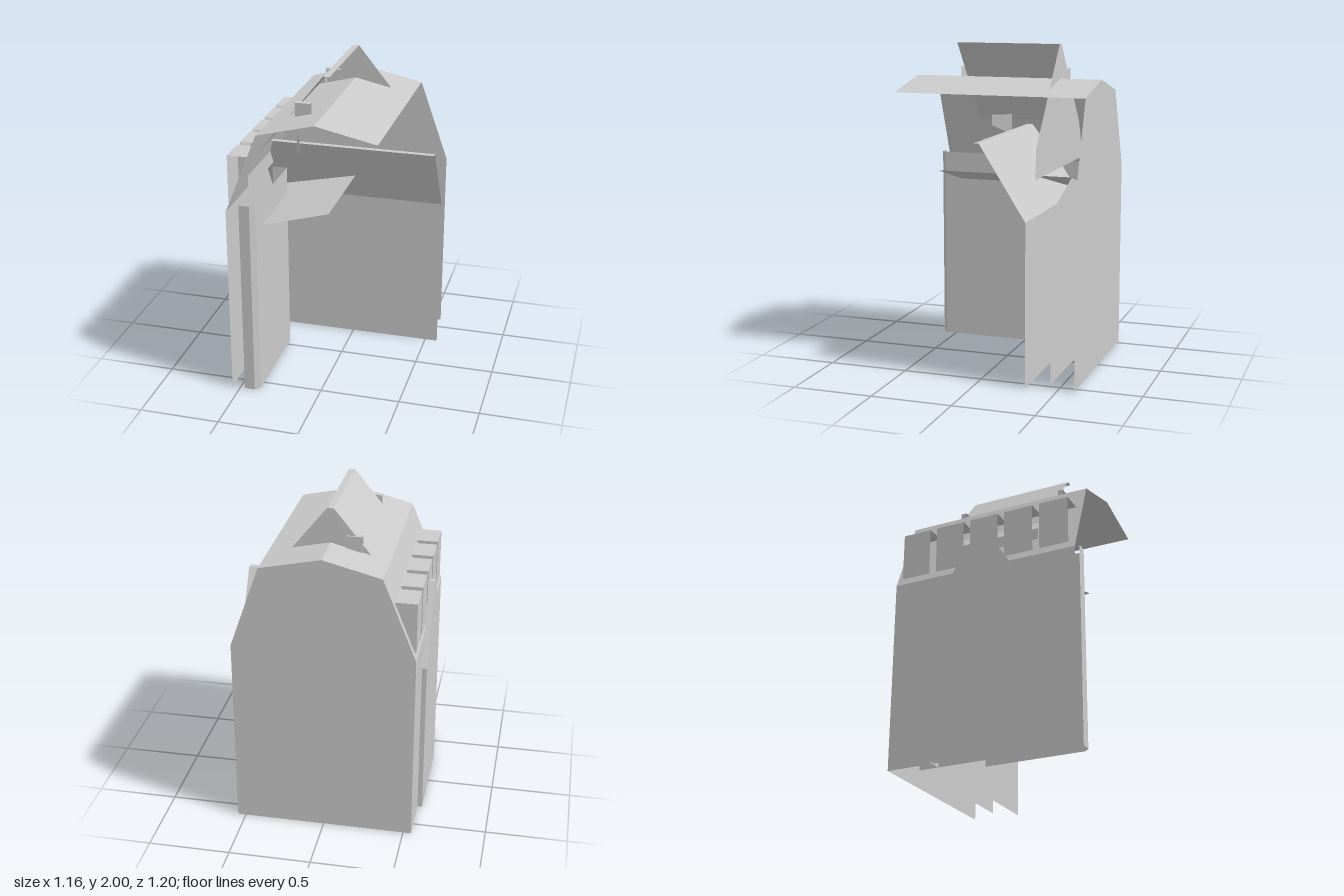
import * as THREE from 'three';

const material = new THREE.MeshStandardMaterial({ color: 0xcccccc, flatShading: true, side: THREE.DoubleSide });

// Mesh from flat convex polygons, each a list of [x, y, z] corners
function panels(name, polygons) {
  const pos = [];
  for (const p of polygons)
    for (let i = 1; i < p.length - 1; i++) pos.push(...p[0], ...p[i], ...p[i + 1]);
  const geo = new THREE.BufferGeometry();
  geo.setAttribute('position', new THREE.Float32BufferAttribute(pos, 3));
  geo.computeVertexNormals();
  const mesh = new THREE.Mesh(geo, material);
  mesh.name = name;
  return mesh;
}

// Sheet that follows an (x, y) profile and runs along z
const alongZ = (profile, z0, z1) => profile.slice(1).map(([bx, by], i) => {
  const [ax, ay] = profile[i];
  return [[ax, ay, z0], [ax, ay, z1], [bx, by, z1], [bx, by, z0]];
});

// Sheet that follows a (z, y) profile and runs along x
const alongX = (profile, x0, x1) => profile.slice(1).map(([bz, by], i) => {
  const [az, ay] = profile[i];
  return [[x1, ay, az], [x0, ay, az], [x0, by, bz], [x1, by, bz]];
});

const faceZ = (profile, z) => profile.map(([x, y]) => [x, y, z]);
const faceX = (profile, x) => profile.map(([z, y]) => [x, y, z]);

export function createModel() {
  const house = new THREE.Group();
  house.name = 'openHouse';

  // Main shell: side wall, gambrel roof open on one side, back gable
  const roof = [[-0.55, 1.2], [-0.35, 1.7], [0, 1.79], [0.37, 1.71]];
  house.add(
    panels('sideWall', alongZ([[-0.55, 0], [-0.55, 1.2]], -0.6, 0.6)),
    panels('mainRoof', alongZ(roof, -0.6, 0.6)),
    panels('backGable', [faceZ([[-0.55, 0], ...roof, [0.55, 1.2], [0.55, 0]], -0.6)]),
  );

  // Raised steep roof through the ridge
  const steep = [[-0.495, 1.24], [-0.495, 1.41], [-0.02, 2], [0.02, 2]];
  house.add(
    panels('raisedRoof', alongZ(steep, -0.34, 0.34)),
    panels('raisedGable', [faceZ([...steep, [0.495, 1.41], [0.495, 1.24]], -0.34)]),
  );

  // Cross wing
  const wing = [[-0.305, 0], [-0.305, 1], [-0.02, 1.45], [0.015, 1.45]];
  house.add(
    panels('wingWallAndRoof', alongX(wing, -0.58, 0.58)),
    panels('wingGable', [faceX([[0.305, 0], [0.305, 1], ...wing.slice().reverse()], -0.58)]),
  );

  // Inner house with a low roof
  house.add(
    panels('innerSideWall', alongZ([[-0.48, 0], [-0.48, 1.045]], -0.43, 0.43)),
    panels('innerRoof', alongZ([[-0.48, 1.045], [0.04, 1.19]], -0.445, 0.45)),
    panels('innerGable', [faceZ([[-0.48, 0], [-0.48, 1.045], [0.04, 1.19], [0.47, 1.05], [0.47, 0]], -0.43)]),
  );

  // Inner partition with a chamfered corner
  const plan = [[-0.47, 0.595], [-0.405, 0.595], [-0.375, 0.565], [-0.375, -0.055], [-0.47, -0.055]];
  house.add(panels('partition', plan.slice(1).map(([bx, bz], i) => {
    const [ax, az] = plan[i];
    return [[ax, 0, az], [bx, 0, bz], [bx, 1.25, bz], [ax, 1.25, az]];
  })));

  // Row of dormers on the steep side of the roof
  for (let i = 0; i < 5; i++) {
    const z0 = -0.56 + i * 0.2325, z1 = z0 + 0.187;
    const profile = [[-0.545, 1.24], [-0.545, 1.545], [-0.412, 1.545]];
    house.add(panels('dormer' + (i + 1), [
      ...alongZ(profile, z0, z1),
      faceZ([...profile, [-0.534, 1.24]], z0),
    ]));
  }

  // Small brackets at the ends of the raised roof
  for (const z of [-0.35, 0.34]) {
    const profile = [[-0.19, 1.74], [-0.19, 1.84], [-0.09, 1.84]];
    house.add(panels('roofBracket', [
      ...alongZ(profile, z, z + 0.035),
      faceZ([...profile, [-0.09, 1.765]], z),
    ]));
  }

  // Small slanted panel under the roof
  house.add(panels('atticPanel', [
    [[-0.27, 1.4, 0.06], [-0.27, 1.53, 0.06], [-0.215, 1.53, 0.18], [-0.215, 1.46, 0.18]],
  ]));

  return house;
}
